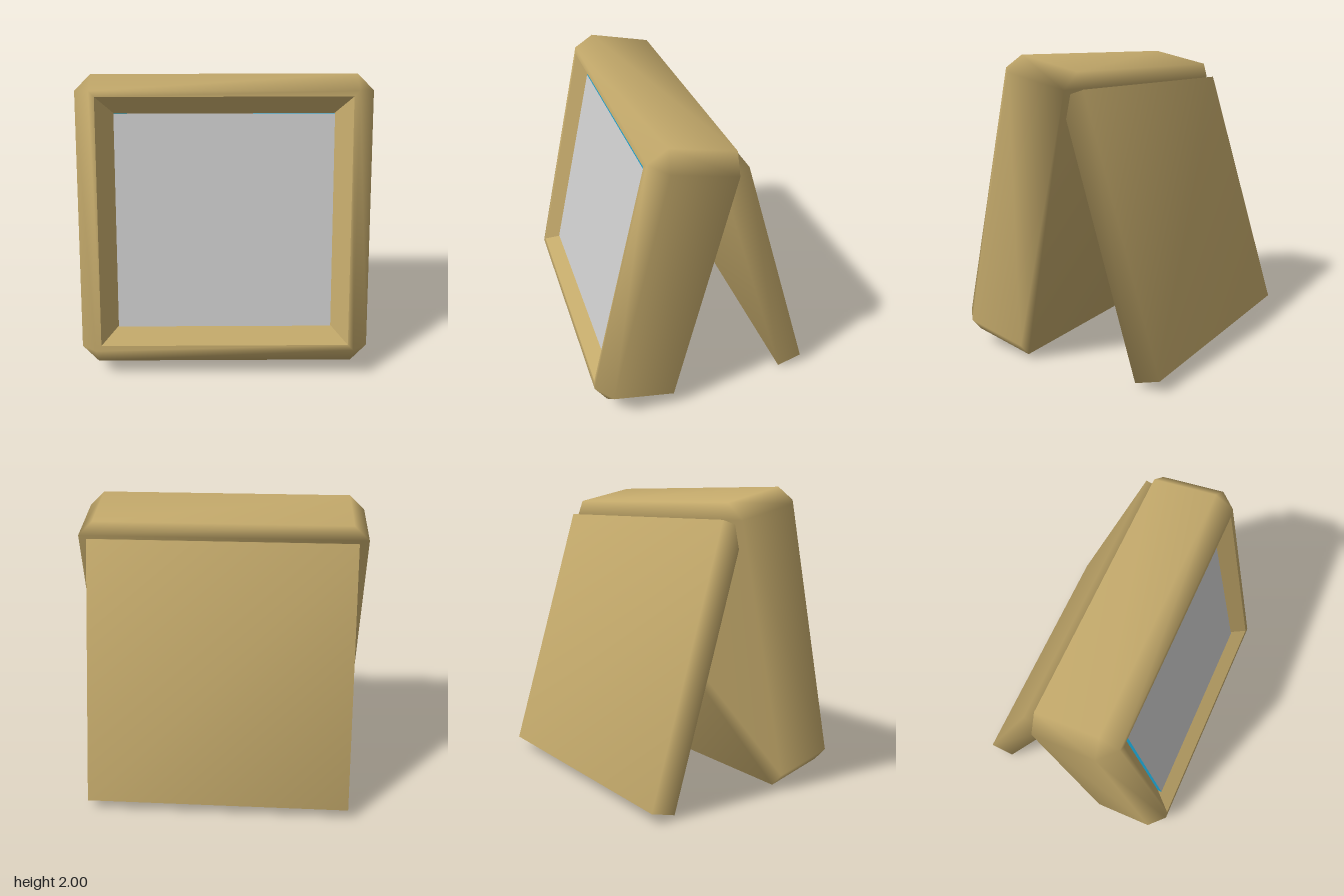
import * as THREE from 'three';
import { mergeVertices } from 'three/addons/utils/BufferGeometryUtils.js';

const tan = new THREE.MeshStandardMaterial({ color: 0xc2a86a });
const grey = new THREE.MeshStandardMaterial({ color: 0xcccccc });
const cyan = new THREE.MeshStandardMaterial({ color: 0x1a9fcc });

// Square ring at depth z; cut trims the corners (0 leaves doubled corner points)
function ring(half, cut, z) {
  const points = [];
  for (const [sx, sy] of [[1, 1], [-1, 1], [-1, -1], [1, -1]]) {
    const a = new THREE.Vector3(sx * half, sy * (half - cut), z);
    const b = new THREE.Vector3(sx * (half - cut), sy * half, z);
    points.push(...(sx * sy > 0 ? [a, b] : [b, a]));
  }
  return points;
}

// Skin successive rings, optionally closing the first one
function skin(rings, closeBack) {
  const pos = [];
  const tri = (a, b, c) => {
    if (a.equals(b) || b.equals(c) || c.equals(a)) return;
    for (const p of [a, b, c]) pos.push(p.x, p.y, p.z);
  };
  for (let k = 0; k + 1 < rings.length; k++) {
    for (let i = 0; i < 8; i++) {
      const j = (i + 1) % 8;
      tri(rings[k][i], rings[k][j], rings[k + 1][j]);
      tri(rings[k][i], rings[k + 1][j], rings[k + 1][i]);
    }
  }
  if (closeBack) {
    const r = rings[0];
    for (let i = 1; i < 7; i++) tri(r[0], r[i + 1], r[i]);
  }
  const geo = new THREE.BufferGeometry();
  geo.setAttribute('position', new THREE.Float32BufferAttribute(pos, 3));
  geo.computeVertexNormals();
  return geo;
}

// Share vertices so shading flows over the edges
function soften(geo) {
  geo.deleteAttribute('normal');
  geo.deleteAttribute('uv');
  const merged = mergeVertices(geo);
  merged.computeVertexNormals();
  return merged;
}

function part(parent, name, geo, material) {
  const mesh = new THREE.Mesh(geo, material);
  mesh.name = name;
  parent.add(mesh);
  return mesh;
}

export function createModel() {
  const model = new THREE.Group();
  model.name = 'easelDisplay';

  // Display leaning back; local origin at the centre of its rear face
  const display = new THREE.Group();
  display.name = 'display';
  display.position.set(0, 0.955, 0.048);
  display.rotation.x = -0.225;
  model.add(display);

  // Chamfered housing with a narrow front rim
  const housing = [ring(0.975, 0.108, 0), ring(0.975, 0.108, 0.433), ring(0.867, 0, 0.541), ring(0.83, 0, 0.541)];
  part(display, 'housing', soften(skin(housing, true)), tan);

  // Sloped bezel running in to the screen
  part(display, 'bezel', skin([ring(0.83, 0, 0.541), ring(0.72, 0, 0.433)], false), tan);

  // Slightly raised screen with coloured edges
  const screen = part(display, 'screen', new THREE.BoxGeometry(1.44, 1.44, 0.06), [cyan, cyan, cyan, cyan, grey, cyan]);
  screen.position.z = 0.433;

  // Rear support board
  const stand = part(model, 'stand', soften(new THREE.BoxGeometry(1.8, 1.805, 0.179)), tan);
  stand.position.set(0, 0.915, -0.415);
  stand.rotation.x = 0.298;

  return model;
}
